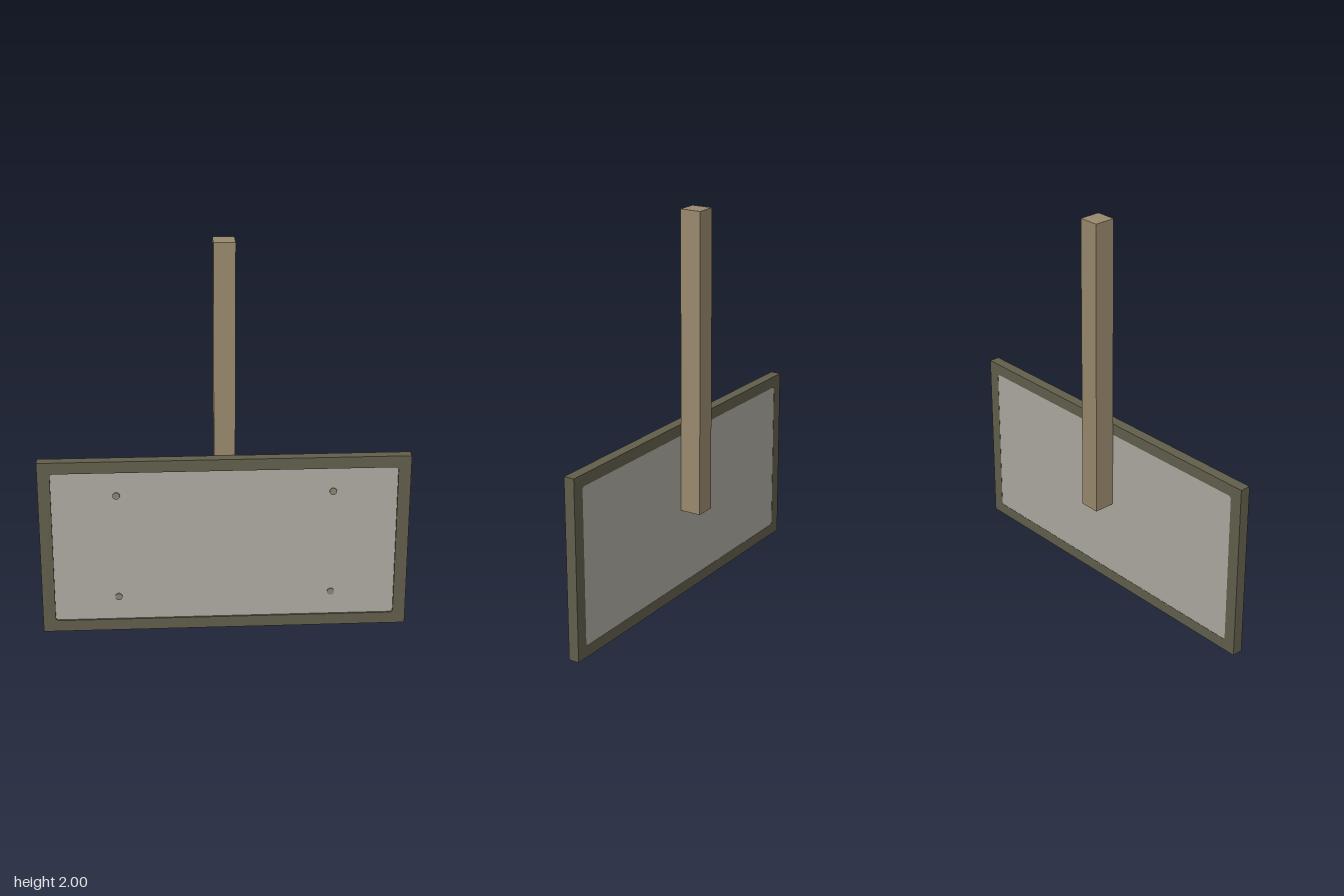
import * as THREE from 'three';

export function createModel() {
  const model = new THREE.Group();
  const paint = (name, color) => {
    const m = new THREE.MeshStandardMaterial({ color });
    m.name = name;
    return m;
  };
  const wood = paint('post wood', 0x9a8a6e);
  const dark = paint('frame olive', 0x625f4c);
  const grey = paint('panel grey', 0xaeaba2);
  const metal = paint('bolt metal', 0x8b8672);

  const add = (name, geometry, material, x, y, z) => {
    const mesh = new THREE.Mesh(geometry, material);
    mesh.name = name;
    mesh.position.set(x, y, z);
    model.add(mesh);
    return mesh;
  };

  // Rectangle outline with small chamfered corners, centred on the origin
  const outline = (path, w, h, c) => {
    const x = w / 2, y = h / 2;
    path.moveTo(-x + c, -y);
    path.lineTo(x - c, -y);
    path.lineTo(x, -y + c);
    path.lineTo(x, y - c);
    path.lineTo(x - c, y);
    path.lineTo(-x + c, y);
    path.lineTo(-x, y - c);
    path.lineTo(-x, -y + c);
    path.closePath();
    return path;
  };

  const back = 0.028, depth = 0.055, midY = 0.4625;

  // Upright post behind the sign
  add('post', new THREE.BoxGeometry(0.105, 1.535, 0.11), wood, 0, 1.2325, -0.0275);

  // Frame around the panel
  const frame = new THREE.Shape([
    new THREE.Vector2(-0.923, -midY), new THREE.Vector2(0.923, -midY),
    new THREE.Vector2(0.923, midY), new THREE.Vector2(-0.923, midY),
  ]);
  frame.holes.push(outline(new THREE.Path(), 1.72, 0.805, 0.01));
  add('frame', new THREE.ExtrudeGeometry(frame, { depth, bevelEnabled: false }), dark, 0, midY, back);

  // Panel, set slightly below the front of the frame
  const panel = outline(new THREE.Shape(), 1.72, 0.805, 0.01);
  add('panel', new THREE.ExtrudeGeometry(panel, { depth: depth - 0.011, bevelEnabled: false }),
    grey, 0, midY, back + 0.001);

  // Four bolt heads
  const boltGeometry = new THREE.CylinderGeometry(0.018, 0.018, 0.008, 16).rotateX(Math.PI / 2);
  for (const x of [-0.538, 0.538]) {
    for (const y of [0.185, 0.74]) add('bolt', boltGeometry, metal, x, y, 0.076);
  }
  return model;
}
